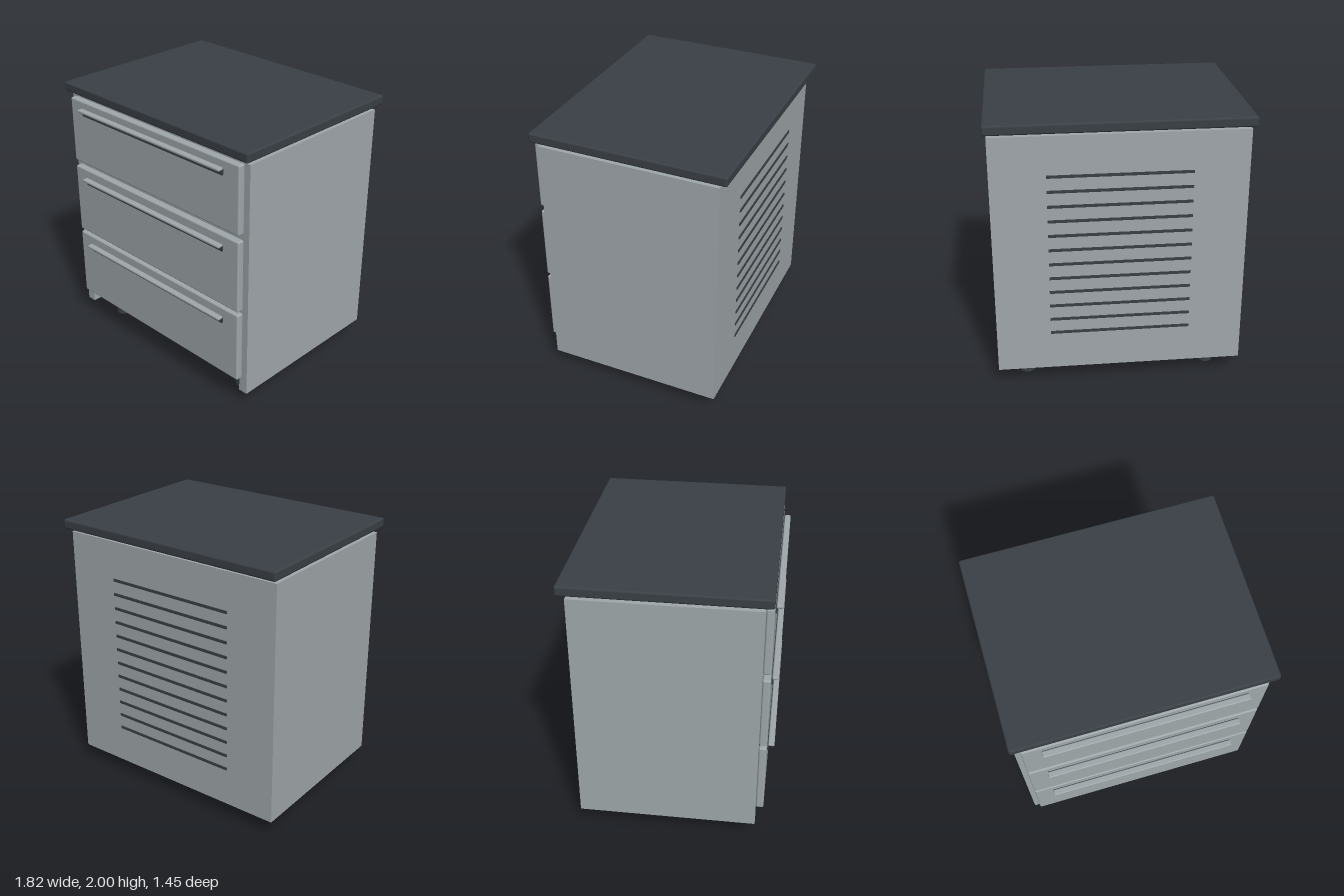
import * as THREE from 'three';
import { RoundedBoxGeometry } from 'three/addons/geometries/RoundedBoxGeometry.js';

export function createModel() {
  const grey = new THREE.MeshStandardMaterial({ color: 0xa0a8ab });
  grey.name = 'light grey';
  const dark = new THREE.MeshStandardMaterial({ color: 0x3a4046 });
  dark.name = 'charcoal';

  const model = new THREE.Group();
  model.name = 'drawerCabinet';

  const add = (name, geometry, material, x = 0, y = 0, z = 0, parent = model) => {
    const mesh = new THREE.Mesh(geometry, material);
    mesh.name = name;
    mesh.position.set(x, y, z);
    parent.add(mesh);
    return mesh;
  };

  // Box given by its min and max on each axis; a radius rounds its edges
  const block = (name, material, [x0, x1], [y0, y1], [z0, z1], radius = 0, parent = model) => {
    const size = [x1 - x0, y1 - y0, z1 - z0];
    const geometry = radius
      ? new RoundedBoxGeometry(...size, 3, radius)
      : new THREE.BoxGeometry(...size);
    return add(name, geometry, material, (x0 + x1) / 2, (y0 + y1) / 2, (z0 + z1) / 2, parent);
  };

  // Worktop, separated from the carcass by a shadow gap
  block('worktop', dark, [-0.91, 0.91], [1.93, 2], [-0.725, 0.675], 0.014);

  // Carcass
  block('leftSidePanel', grey, [0.815, 0.885], [0.12, 1.9], [-0.64, 0.62]);
  block('rightSidePanel', grey, [-0.885, -0.815], [0.12, 1.9], [-0.64, 0.62]);
  block('backPanel', grey, [-0.885, 0.885], [0.12, 1.9], [-0.667, -0.64]);
  block('topPanel', grey, [-0.815, 0.815], [1.85, 1.9], [-0.64, 0.615]);
  block('bottomPanel', dark, [-0.815, 0.815], [0.185, 0.25], [-0.64, 0.6]);
  block('upperRail', grey, [-0.815, 0.815], [1.33, 1.42], [0.56, 0.615]);
  block('lowerRail', grey, [-0.815, 0.815], [0.75, 0.84], [0.56, 0.615]);

  // Drawers: front, pull bar and the dark strip beneath it
  const drawers = [
    { name: 'topDrawer', y: [1.398, 1.897], bar: 1.838 },
    { name: 'middleDrawer', y: [0.809, 1.353], bar: 1.284 },
    { name: 'bottomDrawer', y: [0.244, 0.785], bar: 0.716 },
  ];
  for (const { name, y, bar } of drawers) {
    const drawer = new THREE.Group();
    drawer.name = name;
    model.add(drawer);
    block('drawerFront', grey, [-0.843, 0.843], y, [0.62, 0.675], 0.012, drawer);
    block('pullBar', grey, [-0.71, 0.71], [bar - 0.011, bar + 0.011], [0.68, 0.725], 0.009, drawer);
    block('pullStrip', dark, [-0.705, 0.705], [bar - 0.048, bar - 0.005], [0.673, 0.685], 0, drawer);
  }

  // Ventilation slots across the back
  for (let i = 0; i < 12; i++) {
    const y = 0.414 + i * 0.109;
    block('ventSlot', dark, [-0.5, 0.5], [y - 0.01, y + 0.01], [-0.674, -0.666]);
  }

  // Adjustable feet
  const stem = new THREE.CylinderGeometry(0.022, 0.022, 0.11, 20);
  const pad = new THREE.CylinderGeometry(0.058, 0.058, 0.06, 24);
  for (const x of [-0.675, 0.675]) {
    for (const z of [-0.475, 0.43]) {
      const foot = new THREE.Group();
      foot.name = 'foot';
      foot.position.set(x, 0, z);
      model.add(foot);
      add('footStem', stem, grey, 0, 0.11, 0, foot);
      add('footPad', pad, dark, 0, 0.03, 0, foot);
    }
  }

  return model;
}
